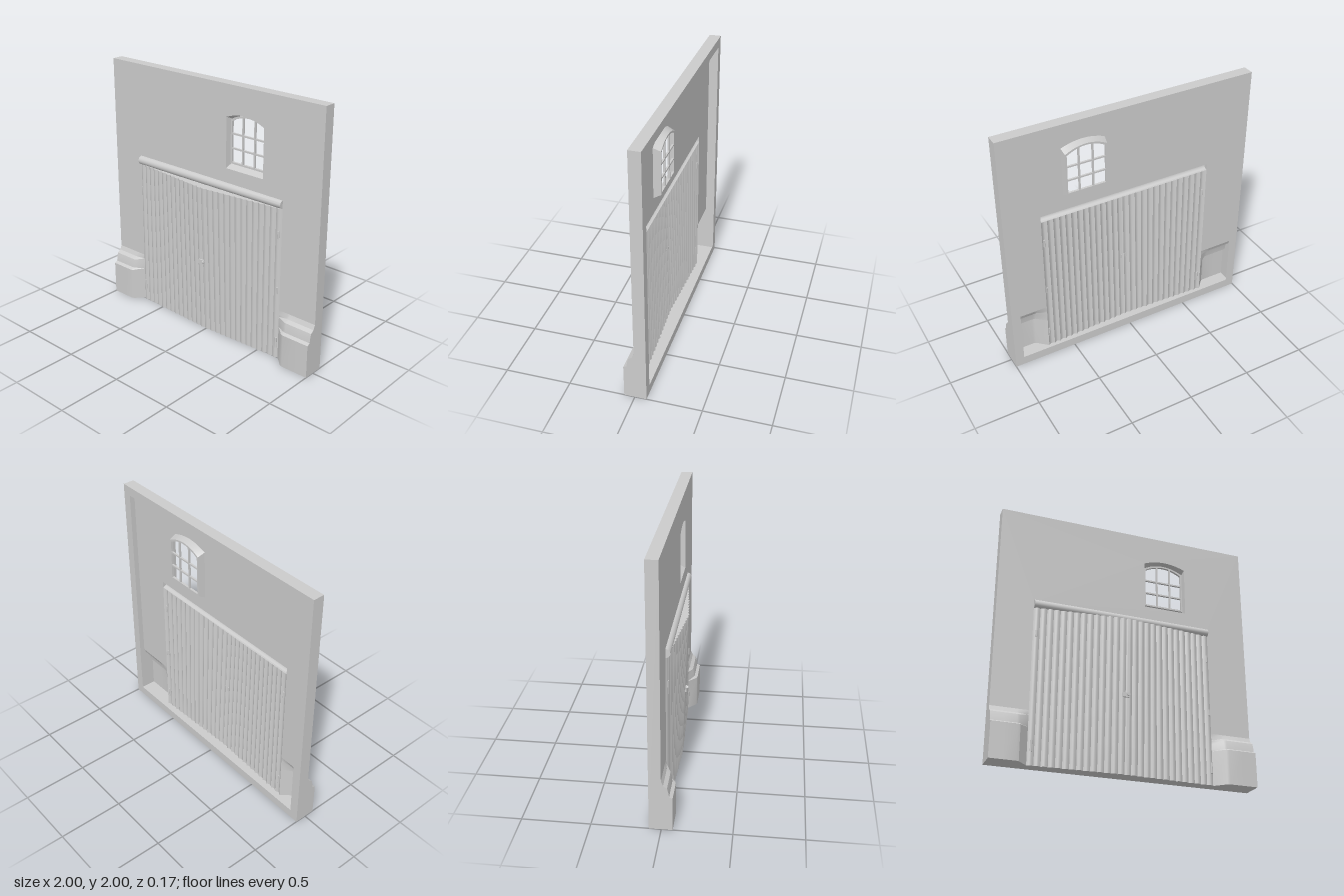
import * as THREE from 'three';
import { toCreasedNormals } from 'three/addons/utils/BufferGeometryUtils.js';

const BACK = -0.088;
const DOOR_L = -0.72, DOOR_R = 0.68, DOOR_TOP = 1.2, RIBS = 28;

export function createModel() {
  const model = new THREE.Group();
  const mat = new THREE.MeshStandardMaterial({ color: 0xcccccc, side: THREE.DoubleSide });

  const add = (name, geometry, x = 0, y = 0, z = 0) => {
    const mesh = new THREE.Mesh(geometry, mat);
    mesh.name = name;
    mesh.position.set(x, y, z);
    model.add(mesh);
    return mesh;
  };
  const shapeOf = pts => new THREE.Shape(pts.map(([x, y]) => new THREE.Vector2(x, y)));
  const flat = (pts, holes = []) => {
    const s = shapeOf(pts);
    s.holes = holes.map(h => shapeOf(h));
    return new THREE.ShapeGeometry(s);
  };
  // Sheet of (nu x nv) cells; point(i, j) gives each corner
  const sheet = (nu, nv, point, crease = 0.6) => {
    const pos = [], idx = [];
    for (let j = 0; j <= nv; j++) for (let i = 0; i <= nu; i++) pos.push(...point(i, j));
    for (let j = 0; j < nv; j++) for (let i = 0; i < nu; i++) {
      const a = j * (nu + 1) + i, b = a + 1, c = a + nu + 1, d = c + 1;
      idx.push(a, b, d, a, d, c);
    }
    const g = new THREE.BufferGeometry();
    g.setAttribute('position', new THREE.Float32BufferAttribute(pos, 3));
    g.setIndex(idx);
    return toCreasedNormals(g, crease);
  };

  // Window outline: straight sides and a shallow arch, counter-clockwise
  const windowLoop = (l, r, b, spring, rise) => {
    const pts = [[l, b], [r, b]];
    for (let i = 0; i <= 12; i++) {
      const t = i / 6 - 1;
      pts.push([(l + r) / 2 - t * (r - l) / 2, spring + rise * (1 - t * t)]);
    }
    return pts;
  };
  const opening = windowLoop(0.16, 0.5, 1.375, 1.76, 0.035);
  const inner = windowLoop(0.17, 0.493, 1.405, 1.737, 0.046);
  const pane = windowLoop(0.182, 0.481, 1.418, 1.725, 0.045);

  // Front wall sheet with the door gap and window opening
  add('frontWall', flat([
    [-1, 0.4], [DOOR_L, 0.4], [DOOR_L, 1.25], [DOOR_R, 1.25],
    [DOOR_R, 0.4], [1, 0.4], [1, 2], [-1, 2],
  ], [opening]));

  // Window reveal, frame and glazing bars
  const n = opening.length;
  add('windowReveal', sheet(n, 1, (i, j) =>
    j ? [...opening[i % n], 0] : [...inner[i % n], -0.055]));
  const frame = shapeOf(inner);
  frame.holes = [shapeOf(pane)];
  add('windowFrame', new THREE.ExtrudeGeometry(frame, { depth: 0.018, bevelEnabled: false }), 0, 0, -0.055);
  for (const x of [0.28, 0.388]) {
    add('verticalBar', new THREE.BoxGeometry(0.012, 0.36, 0.014), x, 1.592, -0.046);
  }
  for (const y of [1.522, 1.632]) {
    add('horizontalBar', new THREE.BoxGeometry(0.31, 0.012, 0.014), 0.332, y, -0.046);
  }

  // Ribbed double door, bulging forward at the middle and most at the top
  const cols = RIBS * 8;
  const doorPoint = (i, y) => {
    const t = i / cols;
    const lean = 1 - Math.abs(2 * t - 1);
    const rib = 0.012 * Math.abs(Math.sin(t * RIBS * Math.PI));
    return [DOOR_L + t * (DOOR_R - DOOR_L), y, lean * (0.03 + 0.045 * y / DOOR_TOP) + rib];
  };
  add('ribbedDoor', sheet(cols, 6, (i, j) => doorPoint(i, DOOR_TOP * j / 6), 0.9));
  add('doorTop', sheet(cols, 1, (i, j) => {
    const p = doorPoint(i, DOOR_TOP);
    return j ? [p[0], p[1], 0] : p;
  }));

  // Rounded lintel beam with closed ends
  const beam = [[DOOR_L, 0], [DOOR_L, 1], [-0.3, 1], [0.3, 0.95], [DOOR_R, 0.9], [DOOR_R, 0]];
  add('lintel', sheet(beam.length - 1, 10, (i, j) => {
    const a = (j / 10 - 0.5) * Math.PI, [x, r] = beam[i];
    return [x, 1.232 + 0.034 * r * Math.sin(a), 0.034 * r * Math.cos(a)];
  }));

  // Plinths: height rows [y, depth] over a plan of [x, share of depth]
  const rows = [[0, 0.08], [0.262, 0.08], [0.276, 0.056], [0.315, 0.05], [0.345, 0.042], [0.365, 0.015], [0.4, 0]];
  const plans = {
    rightPlinth: [[-1, 1], [-0.9, 1], [-0.81, 1], [-0.79, 0.93], [DOOR_L, 0]],
    leftPlinth: [[DOOR_R, 0], [0.76, 0.93], [0.78, 1], [0.9, 1], [1, 1]],
  };
  for (const [name, plan] of Object.entries(plans)) {
    add(name, sheet(plan.length - 1, rows.length - 1, (i, j) =>
      [plan[i][0], rows[j][0], plan[i][1] * rows[j][1]], 0.5));
  }

  // Outer casing: two sides, top, bottom and a back rim
  const sideOutline = [[BACK, 0], ...rows.map(([y, z]) => [z, y]), [0, 2], [BACK, 2]];
  for (const s of [-1, 1]) {
    const g = flat(sideOutline.map(([z, y]) => [-s * z, y]));
    g.rotateY(s * Math.PI / 2);
    add(s > 0 ? 'leftSide' : 'rightSide', g, s, 0, 0);
  }
  add('topSide', new THREE.PlaneGeometry(2, -BACK).rotateX(-Math.PI / 2), 0, 2, BACK / 2);

  const frontLine = plans.rightPlinth.map(([x, k]) => [x, 0.08 * k]);
  for (let i = 1; i < cols; i++) {
    const p = doorPoint(i, 0);
    frontLine.push([p[0], p[2]]);
  }
  frontLine.push(...plans.leftPlinth.map(([x, k]) => [x, 0.08 * k]));
  add('bottomSide', flat([[1, BACK], [-1, BACK], ...frontLine]).rotateX(Math.PI / 2));

  const rect = (x, y0, y1) => [[-x, y0], [x, y0], [x, y1], [-x, y1]];
  const rim = flat(rect(1, 0, 2), [rect(0.93, 0.07, 1.93)]);
  add('backRim', rim.rotateY(Math.PI), 0, 0, BACK);

  // Door handle and hinges
  add('handlePlate', new THREE.BoxGeometry(0.05, 0.035, 0.014), -0.022, 0.588, 0.066);
  const knob = new THREE.CylinderGeometry(0.011, 0.011, 0.025, 12).rotateX(Math.PI / 2);
  add('handleKnob', knob, -0.005, 0.59, 0.072);
  for (const [x, y, h] of [[-0.695, 0.99, 0.05], [-0.695, 0.14, 0.08], [0.66, 1, 0.06], [0.665, 0.56, 0.05], [0.668, 0.13, 0.08]]) {
    add('hinge', new THREE.CylinderGeometry(0.008, 0.008, h, 8), x, y, 0.012);
  }
  return model;
}
